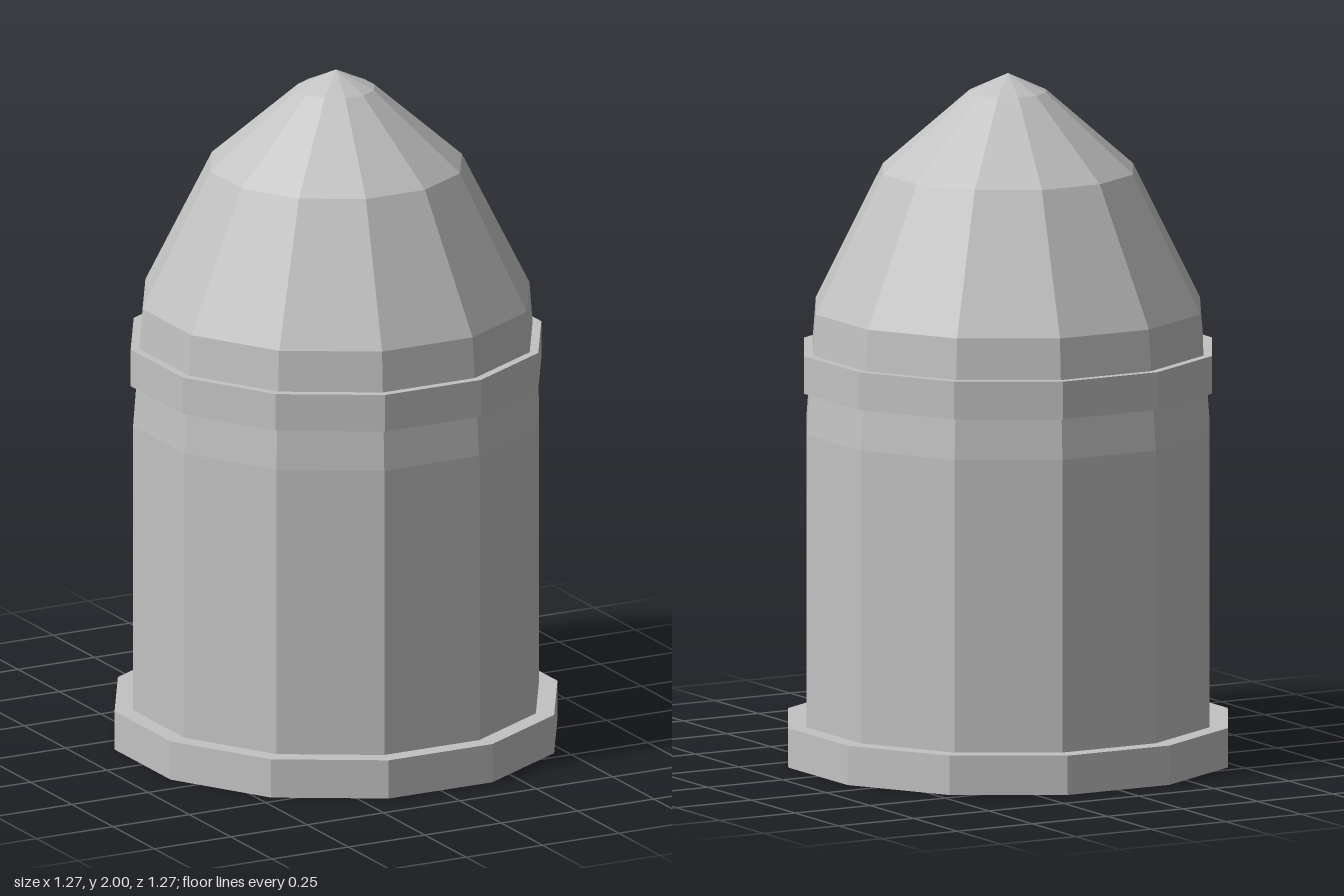
import * as THREE from 'three';

const SIDES = 12;
const TURN = Math.PI / SIDES; // turns a flat side to face the front
const corner = (flat) => flat / Math.cos(TURN); // flat-side distance to corner radius

export function createModel() {
  const model = new THREE.Group();
  model.name = 'bullet';
  const metal = new THREE.MeshStandardMaterial({ color: 0xc2c2c2, flatShading: true });
  metal.name = 'grey metal';

  const add = (name, geometry) => {
    const mesh = new THREE.Mesh(geometry, metal);
    mesh.name = name;
    model.add(mesh);
  };

  // Twelve-sided collar between two heights
  const collar = (name, flat, bottom, top) => {
    const r = corner(flat);
    const geometry = new THREE.CylinderGeometry(r, r, top - bottom, SIDES, 1, false, TURN);
    add(name, geometry.translate(0, (bottom + top) / 2, 0));
  };

  // Shell turned from a [flat distance, height] profile
  const shell = (name, profile) => {
    const points = profile.map(([flat, y]) => new THREE.Vector2(corner(flat), y));
    add(name, new THREE.LatheGeometry(points, SIDES, TURN));
  };

  collar('baseRim', 0.633, 0, 0.115);
  shell('casing', [[0.58, 0.115], [0.58, 0.97], [0.571, 1.09]]);
  collar('band', 0.587, 1.09, 1.2);
  shell('nose', [[0.562, 1.2], [0.553, 1.32], [0.36, 1.72], [0.11, 1.947], [0, 2]]);

  return model;
}
